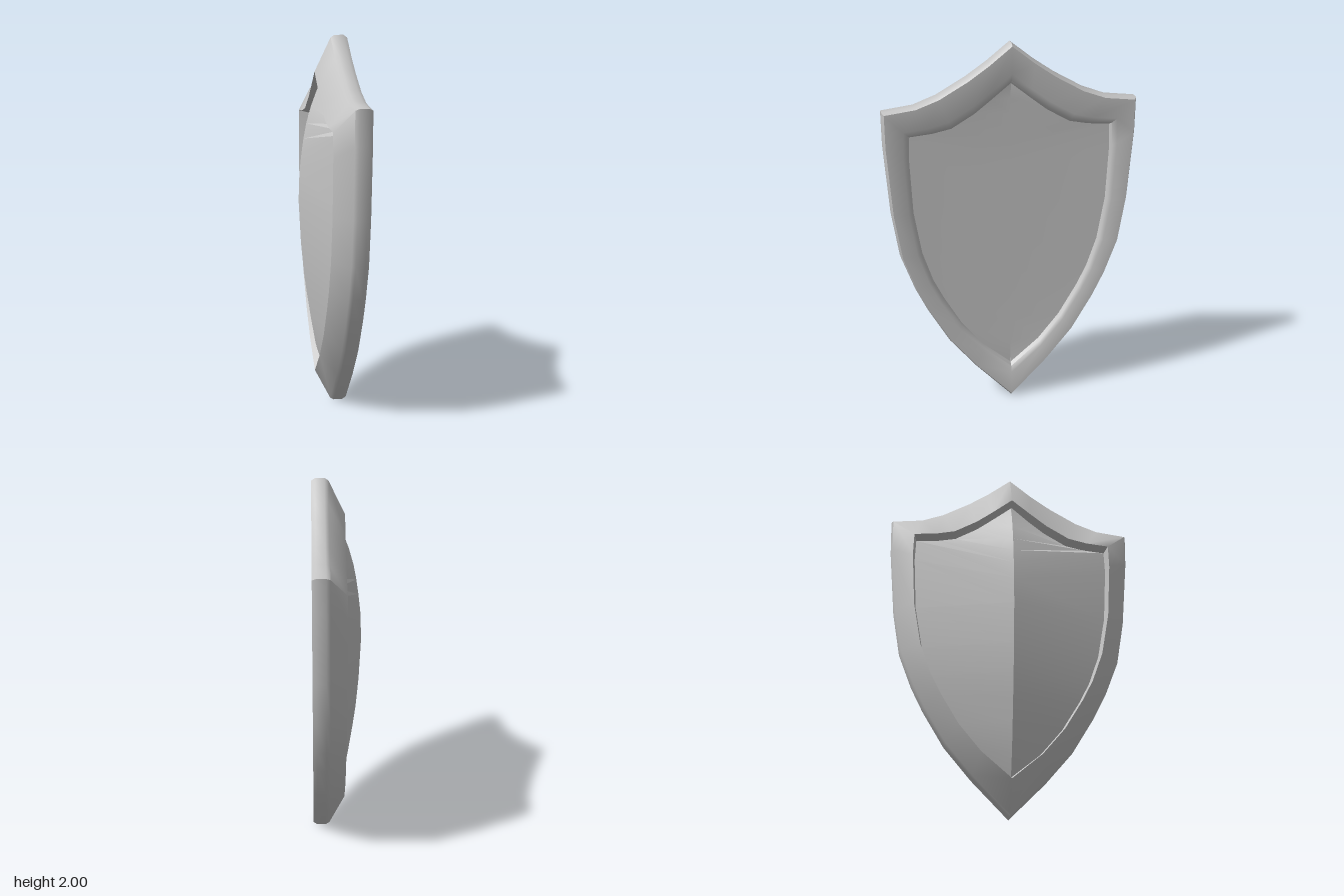
import * as THREE from 'three';
import { toCreasedNormals } from 'three/addons/utils/BufferGeometryUtils.js';

// Half outlines as [z, y], from the top point round the corner to the bottom tip
const OUTER = [[0, 2], [0.12, 1.905], [0.23, 1.83], [0.38, 1.745], [0.5, 1.7], [0.663, 1.68], [0.66, 1.5],
  [0.63, 1.13], [0.59, 0.89], [0.52, 0.705], [0.455, 0.573], [0.34, 0.38], [0.196, 0.207], [0, 0.005]];
const INNER = [[0, 1.79], [0.1, 1.71], [0.19, 1.64], [0.31, 1.57], [0.41, 1.55], [0.525, 1.54], [0.53, 1.42],
  [0.515, 1.13], [0.475, 0.9], [0.42, 0.74], [0.365, 0.63], [0.27, 0.47], [0.155, 0.33], [0, 0.2]];
// Central ridge as [x, y], one point for each outline point
const RIDGE = [[0, 1.79], [-0.035, 1.71], [-0.065, 1.63], [-0.09, 1.54], [-0.105, 1.46], [-0.116, 1.38],
  [-0.127, 1.28], [-0.132, 1.13], [-0.12, 0.9], [-0.105, 0.74], [-0.09, 0.63], [-0.065, 0.47], [-0.04, 0.33], [0, 0.2]];

const LAST = OUTER.length - 1;
const LOOP = LAST * 2;

// Closed ring from a rule giving [x, y, z] on one half, mirrored across z
function ring(pointAt) {
  return Array.from({ length: LOOP }, (_, i) => {
    const [x, y, z] = pointAt(i <= LAST ? i : LOOP - i);
    return [x, y, i <= LAST ? z : -z];
  });
}

// Ring at depth x, a fraction t of the way from the outer to the inner outline
function rimRing(t, x) {
  return ring((i) => [
    x,
    THREE.MathUtils.lerp(OUTER[i][1], INNER[i][1], t),
    THREE.MathUtils.lerp(OUTER[i][0], INNER[i][0], t),
  ]);
}

// Skin consecutive rings with quads
function loft(rings, crease) {
  const index = [];
  for (let k = 0; k < rings.length - 1; k++) {
    for (let i = 0; i < LOOP; i++) {
      const j = (i + 1) % LOOP;
      const a = k * LOOP + i, b = k * LOOP + j, c = b + LOOP, d = a + LOOP;
      index.push(a, b, c, a, c, d);
    }
  }
  const geometry = new THREE.BufferGeometry();
  geometry.setAttribute('position', new THREE.Float32BufferAttribute(rings.flat(2), 3));
  geometry.setIndex(index);
  return toCreasedNormals(geometry, crease);
}

export function createModel() {
  const group = new THREE.Group();
  group.name = 'shield';
  const steel = new THREE.MeshStandardMaterial({ color: 0xc4c4c4 });
  steel.name = 'steel';

  const add = (name, rings, crease) => {
    const mesh = new THREE.Mesh(loft(rings, crease), steel);
    mesh.name = name;
    group.add(mesh);
  };

  // Raised border, section running from the inner back edge round to the inner front edge
  const section = [[1, 0.01], [0.9, -0.045], [0.06, 0.04], [0, 0.06], [0, 0.108], [0.07, 0.128],
    [0.75, 0.126], [0.92, 0.115], [1, 0.095]];
  add('rim', section.map(([t, x]) => rimRing(t, x)), 0.9);

  // Nearly flat recessed panel on the +x side
  add('recessedPanel', [
    rimRing(1, 0.095),
    ring((i) => [0.088, RIDGE[i][1], 0]),
  ], 0.6);

  // Ridged panel on the -x side, rising straight from the rim to the curved ridge
  add('ridgedPanel', [
    ring((i) => [RIDGE[i][0], RIDGE[i][1], 0]),
    rimRing(1, 0.01),
  ], 0.35);

  return group;
}
